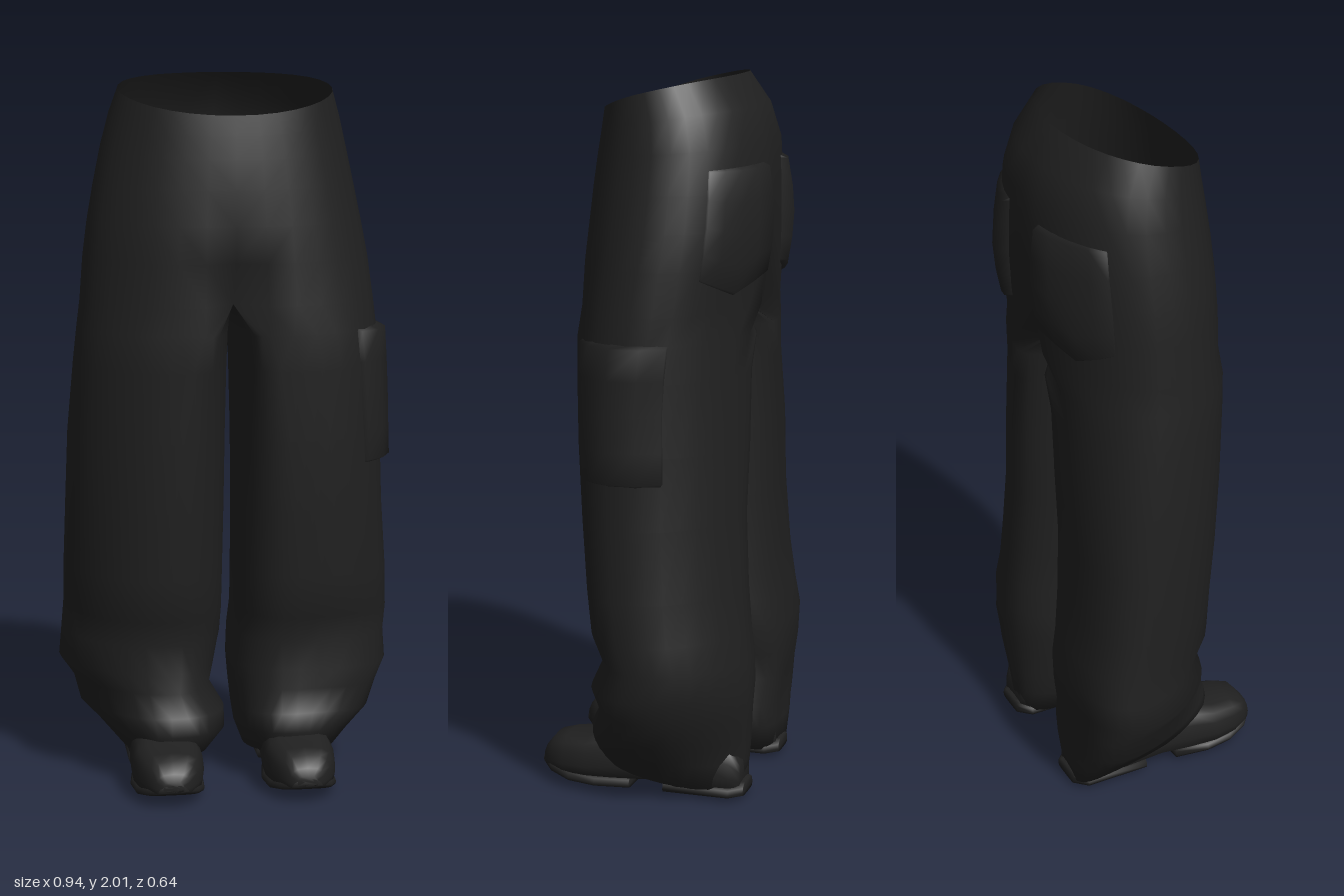
import * as THREE from 'three';
import { mergeVertices } from 'three/addons/utils/BufferGeometryUtils.js';

const { sin, cos, PI, abs, sign, max, min } = Math;
const CROTCH = 1.38;
const TURN = 32; // points around one leg

// Shared leg rows: height, front z, back z, x of the front and back crease
const ROWS = [
  [0.03, 0.08, -0.18, 0.185], [0.05, 0.16, -0.265, 0.18], [0.12, 0.18, -0.272, 0.18], [0.18, 0.17, -0.275, 0.18],
  [0.25, 0.13, -0.28, 0.19], [0.32, 0.15, -0.288, 0.19], [0.4, 0.115, -0.287, 0.19],
  [0.48, 0.155, -0.277, 0.19], [0.6, 0.167, -0.266, 0.185], [0.8, 0.185, -0.256, 0.17],
  [1.0, 0.2, -0.26, 0.15], [1.2, 0.212, -0.257, 0.12], [1.3, 0.22, -0.264, 0.09],
  [CROTCH, 0.224, -0.278, 0], [1.5, 0.222, -0.287, 0], [1.6, 0.215, -0.29, 0], [1.7, 0.205, -0.29, 0],
  [1.8, 0.195, -0.285, 0], [1.88, 0.185, -0.255, 0], [1.95, 0.175, -0.195, 0],
];
// Outer and inner x of each leg, one pair per row
const LEFT = [
  [0.25, 0.12], [0.305, 0.06], [0.35, 0.03], [0.405, 0.02], [0.44, 0.015], [0.47, 0.01], [0.468, 0.015],
  [0.465, 0.02], [0.46, 0.02], [0.445, 0.02], [0.437, 0.018], [0.43, 0.014], [0.425, 0.008],
  [0.418, 0], [0.403, 0], [0.385, 0], [0.364, 0], [0.342, 0], [0.322, 0], [0.298, 0],
];
const RIGHT = [
  [0.25, 0.12], [0.305, 0.06], [0.36, 0.005], [0.41, 0.004], [0.425, 0.045], [0.472, 0.035], [0.468, 0.015],
  [0.464, 0.012], [0.46, 0.01], [0.455, 0.008], [0.448, 0.006], [0.432, 0.004], [0.422, 0.002],
  [0.412, 0], [0.403, 0], [0.39, 0], [0.372, 0], [0.35, 0], [0.328, 0], [0.303, 0],
];

const soft = (v, p) => sign(v) * abs(v) ** p;

// Point on the cloth: t runs front, outer side, back, inner side
function clothPoint(side, t, y, offset = 0) {
  let i = 0;
  while (i < ROWS.length - 2 && y > ROWS[i + 1][0]) i++;
  const f = (y - ROWS[i][0]) / (ROWS[i + 1][0] - ROWS[i][0]);
  const mix = (table, k) => THREE.MathUtils.lerp(table[i][k], table[i + 1][k], f);
  const widths = side > 0 ? LEFT : RIGHT;
  const [zf, zb, xm] = [1, 2, 3].map((k) => mix(ROWS, k));
  const outer = sin(t) > 0;
  // fades from 1 on the legs to 0 at the hips
  const leg = min(1, max(0, (1.6 - y) / 0.5));
  const trim = side > 0 && cos(t) < 0 ? 0.3 * leg : 0;
  const s = soft(sin(t), outer ? 0.96 + trim : 0.8), c = soft(cos(t), 0.94);
  const reach = outer ? mix(widths, 0) - xm : xm - mix(widths, 1);
  // gentle folds towards the hem
  const fold = offset + 0.008 * max(0, 1 - y / 0.7) * sin(3 * t + y * 16 + side) * (outer ? 1 : 0.3);
  // the legs swing: right one bulges to the back, left one to the front
  const lean = outer ? s * s * leg * (side < 0 ? -0.1 * max(0, 1 - y / 1.8) : 0.04) : 0;
  const x = xm + reach * s + fold * sin(t);
  const z = (zf + zb) / 2 + ((zf - zb) / 2) * c + fold * cos(t) + lean;
  // hem rises over the shoe, waist drops at the front
  const hem = 0.045 * max(0, 1 - y / 0.35) * cos(t);
  const waist = max(0, (y - 1.7) / 0.25) * (0.015 * sin(t) ** 2 - 0.05 * cos(t));
  return [side * x, y + hem + waist, z];
}

function build(positions, index) {
  const g = new THREE.BufferGeometry();
  g.setAttribute('position', new THREE.Float32BufferAttribute(positions, 3));
  g.setIndex(index);
  const welded = mergeVertices(g, 1e-4);
  welded.computeVertexNormals();
  return welded;
}

function quad(index, a, b, c, d, flip) {
  if (flip) index.push(a, c, b, a, d, c);
  else index.push(a, b, c, a, c, d);
}

// Both legs and the hips as one open shell
function trousersGeometry() {
  const positions = [], index = [];
  for (const side of [1, -1]) {
    const base = positions.length / 3;
    for (const [y] of ROWS)
      for (let j = 0; j <= TURN; j++) {
        const p = clothPoint(side, (j / TURN) * 2 * PI, y);
        // the centre seam sinks in towards the crotch
        if (y >= CROTCH && (j % TURN === 0 || j >= TURN / 2)) {
          p[0] = 0;
          p[2] = -0.03 + (p[2] + 0.03) * (y === CROTCH ? 0.65 : y < 1.55 ? 0.9 : y < 1.65 ? 0.96 : 1);
        }
        positions.push(...p);
      }
    for (let i = 0; i < ROWS.length - 1; i++) {
      const columns = ROWS[i][0] < CROTCH ? TURN : TURN / 2;
      for (let j = 0; j < columns; j++) {
        const a = base + i * (TURN + 1) + j;
        quad(index, a, a + 1, a + TURN + 2, a + TURN + 1, side < 0);
      }
    }
  }
  return build(positions, index);
}

// Raised patch that follows the cloth; height(u, v) gives its thickness, drop a pointed bottom
function pocketGeometry(side, t0, t1, y0, y1, drop, height) {
  const steps = [0, 0.03, 0.25, 0.5, 0.75, 0.97, 1], n = steps.length;
  const positions = [], index = [];
  steps.forEach((v, i) => steps.forEach((u, j) => {
    const edge = i === 0 || j === 0 || i === n - 1 || j === n - 1;
    const low = y0 - drop * (1 - abs(2 * u - 1));
    const y = low + (y1 - low) * v;
    positions.push(...clothPoint(side, t0 + (t1 - t0) * u, y, edge ? -0.008 : height(u, v)));
    if (i < n - 1 && j < n - 1) {
      const a = i * n + j;
      quad(index, a, a + 1, a + n + 1, a + n, side < 0);
    }
  }));
  return build(positions, index);
}

// Loft along z from rows of z, half width, bottom y, top y
function shoeLoft(rows) {
  const n = 16, positions = [], index = [];
  rows.forEach(([z, w, y0, y1], i) => {
    for (let j = 0; j < n; j++) {
      const a = (j / n) * 2 * PI;
      const mid = y0 + (y1 - y0) * 0.3;
      const s = soft(sin(a), sin(a) > 0 ? 0.8 : 0.4);
      positions.push(w * soft(cos(a), 0.6), mid + s * (s > 0 ? y1 - mid : mid - y0), z);
      if (i < rows.length - 1) {
        const k = (j + 1) % n;
        quad(index, i * n + j, i * n + k, (i + 1) * n + k, (i + 1) * n + j);
      }
    }
  });
  for (let j = 1; j < n - 1; j++) {
    const e = (rows.length - 1) * n;
    index.push(0, j + 1, j, e, e + j, e + j + 1);
  }
  return build(positions, index);
}

export function createModel() {
  const model = new THREE.Group();
  model.name = 'trousersAndShoes';
  const black = new THREE.MeshStandardMaterial({ color: 0x202020, side: THREE.DoubleSide });
  black.name = 'black cloth';
  const add = (parent, name, geometry) => {
    const mesh = new THREE.Mesh(geometry, black);
    mesh.name = name;
    parent.add(mesh);
  };

  add(model, 'trousers', trousersGeometry());

  // Pockets: one on each seat half, flush on its outer edge, and one on the left thigh
  const seatPocket = (u, v) => 0.035 * (0.2 + 0.8 * u) * (0.55 + 0.45 * sin(PI * v));
  const thighPocket = (u) => 0.008 + 0.017 * sin(PI * u);
  for (const side of [1, -1])
    add(model, side > 0 ? 'leftBackPocket' : 'rightBackPocket',
      pocketGeometry(side, PI - 0.98, PI - 0.22, 1.47, 1.76, 0.05, seatPocket));
  add(model, 'leftThighPocket', pocketGeometry(1, 0.85, 2, 0.92, 1.31, 0, thighPocket));

  // Shoes with a separate front sole and heel
  const upper = shoeLoft([
    [-0.265, 0.05, 0.02, 0.1], [-0.24, 0.08, 0.02, 0.15], [-0.12, 0.09, 0.02, 0.16],
    [0, 0.09, 0.025, 0.17], [0.1, 0.1, 0.02, 0.165], [0.18, 0.103, 0.02, 0.14],
    [0.25, 0.09, 0.02, 0.13], [0.29, 0.073, 0.025, 0.12], [0.315, 0.05, 0.03, 0.09], [0.325, 0.03, 0.04, 0.07],
  ]);
  const frontSole = shoeLoft([
    [0.05, 0.09, 0, 0.04], [0.15, 0.105, 0, 0.04], [0.23, 0.098, 0.005, 0.045],
    [0.29, 0.075, 0.02, 0.055], [0.325, 0.035, 0.035, 0.06],
  ]);
  const heel = shoeLoft([
    [-0.275, 0.05, 0, 0.04], [-0.24, 0.085, 0, 0.04], [-0.05, 0.088, 0, 0.04],
  ]);
  for (const side of [1, -1]) {
    const shoe = new THREE.Group();
    shoe.name = side > 0 ? 'leftShoe' : 'rightShoe';
    shoe.position.x = side > 0 ? 0.185 : -0.193;
    add(shoe, 'upper', upper);
    add(shoe, 'frontSole', frontSole);
    add(shoe, 'heel', heel);
    model.add(shoe);
  }
  return model;
}
